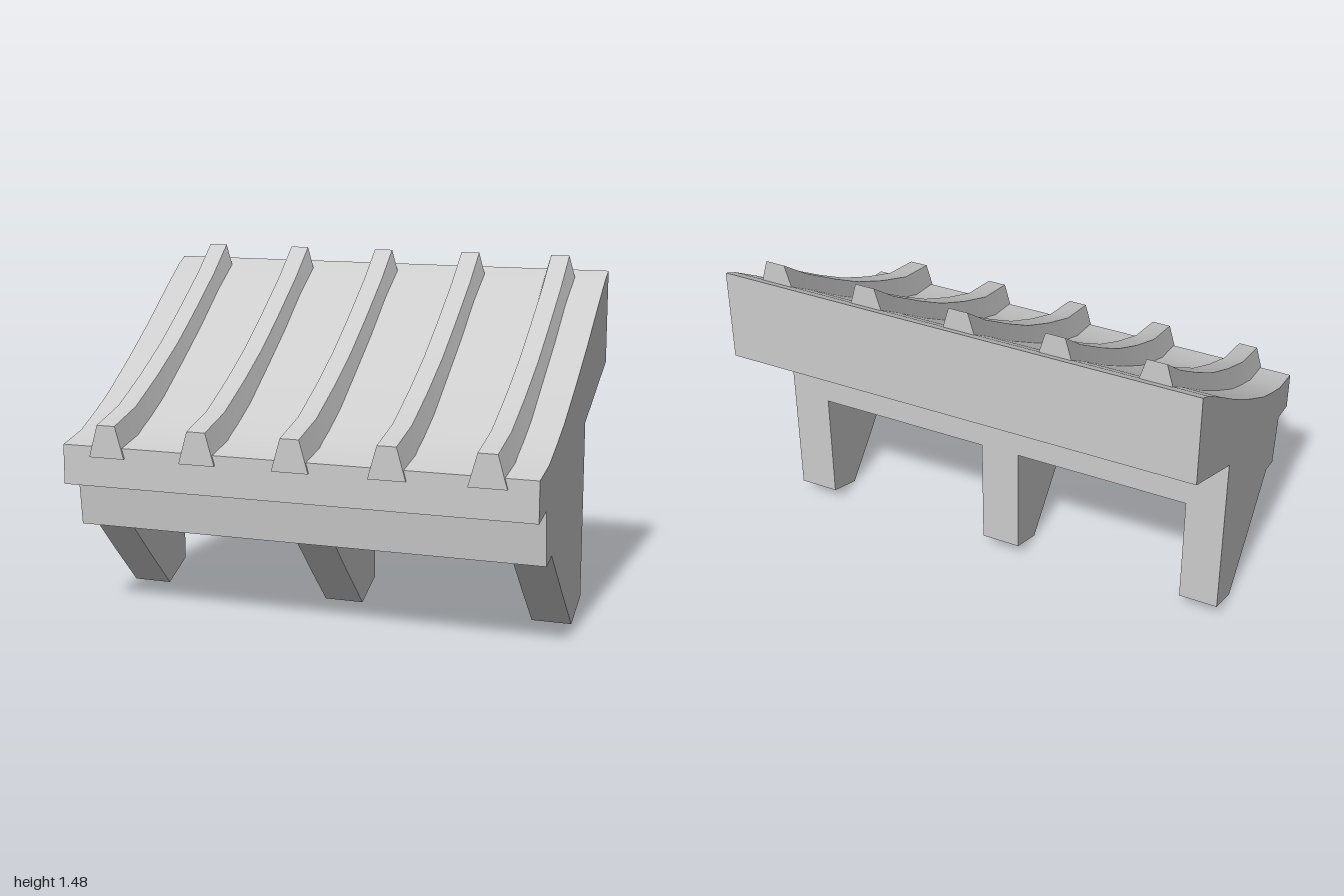
import * as THREE from 'three';
import { toCreasedNormals } from 'three/addons/utils/BufferGeometryUtils.js';

// Extrude a [z, y] side profile along x, between two x positions
function extrudeSide(points, x0, x1) {
  const shape = new THREE.Shape(points.map(([z, y]) => new THREE.Vector2(z, y)));
  const geo = new THREE.ExtrudeGeometry(shape, { depth: x1 - x0, bevelEnabled: false });
  geo.rotateY(-Math.PI / 2).translate(x1, 0, 0);
  return toCreasedNormals(geo, 0.6);
}

// Raised rib: a box bent along the roof curve, wider at its base
function ribGeometry() {
  const path = [[-0.55, 1.475], [-0.4, 1.355], [-0.18, 1.205], [0, 1.09], [0.2, 0.983], [0.41, 0.885], [0.608, 0.836]];
  const n = path.length - 1;
  const geo = new THREE.BoxGeometry(1, 1, 1, 1, 1, n);
  const p = geo.attributes.position;
  for (let i = 0; i < p.count; i++) {
    const [z, y] = path[Math.round((p.getZ(i) + 0.5) * n)];
    const top = p.getY(i) > 0;
    p.setXYZ(i, Math.sign(p.getX(i)) * (top ? 0.04 : 0.078), top ? y : y - 0.135, z);
  }
  return toCreasedNormals(geo, 0.6);
}

export function createModel() {
  const model = new THREE.Group();
  const stone = new THREE.MeshStandardMaterial({ color: 0xcccccc });
  stone.name = 'pale grey';
  const add = (name, geo, x = 0) => {
    const mesh = new THREE.Mesh(geo, stone);
    mesh.name = name;
    mesh.position.x = x;
    model.add(mesh);
  };

  // Sloping roof with stepped eave and solid underside
  add('roof', extrudeSide([
    [0.6, 0.745], [0.45, 0.775], [0.33, 0.827], [0.2, 0.89], [0, 1.01], [-0.2, 1.14],
    [-0.4, 1.282], [-0.54, 1.377], [-0.605, 1.41], [-0.605, 1.015], [-0.2, 0.82],
    [-0.2, 0.57], [0.29, 0.415], [0.37, 0.396], [0.455, 0.375], [0.48, 0.6], [0.6, 0.578],
  ], -1, 1));

  // Three wedge brackets under the roof
  const bracket = [[0.37, 0.396], [0.17, 0.194], [-0.03, 0], [-0.2, 0.07], [-0.2, 0.57], [0.29, 0.415]];
  for (const [name, x0, x1] of [['rightBracket', -1, -0.833], ['middleBracket', -0.084, 0.084], ['leftBracket', 0.833, 1]]) {
    add(name, extrudeSide(bracket, x0, x1));
  }

  // Five ribs running down the roof
  const rib = ribGeometry();
  for (let i = -2; i <= 2; i++) add('roofRib', rib, i * 0.4);

  return model;
}
